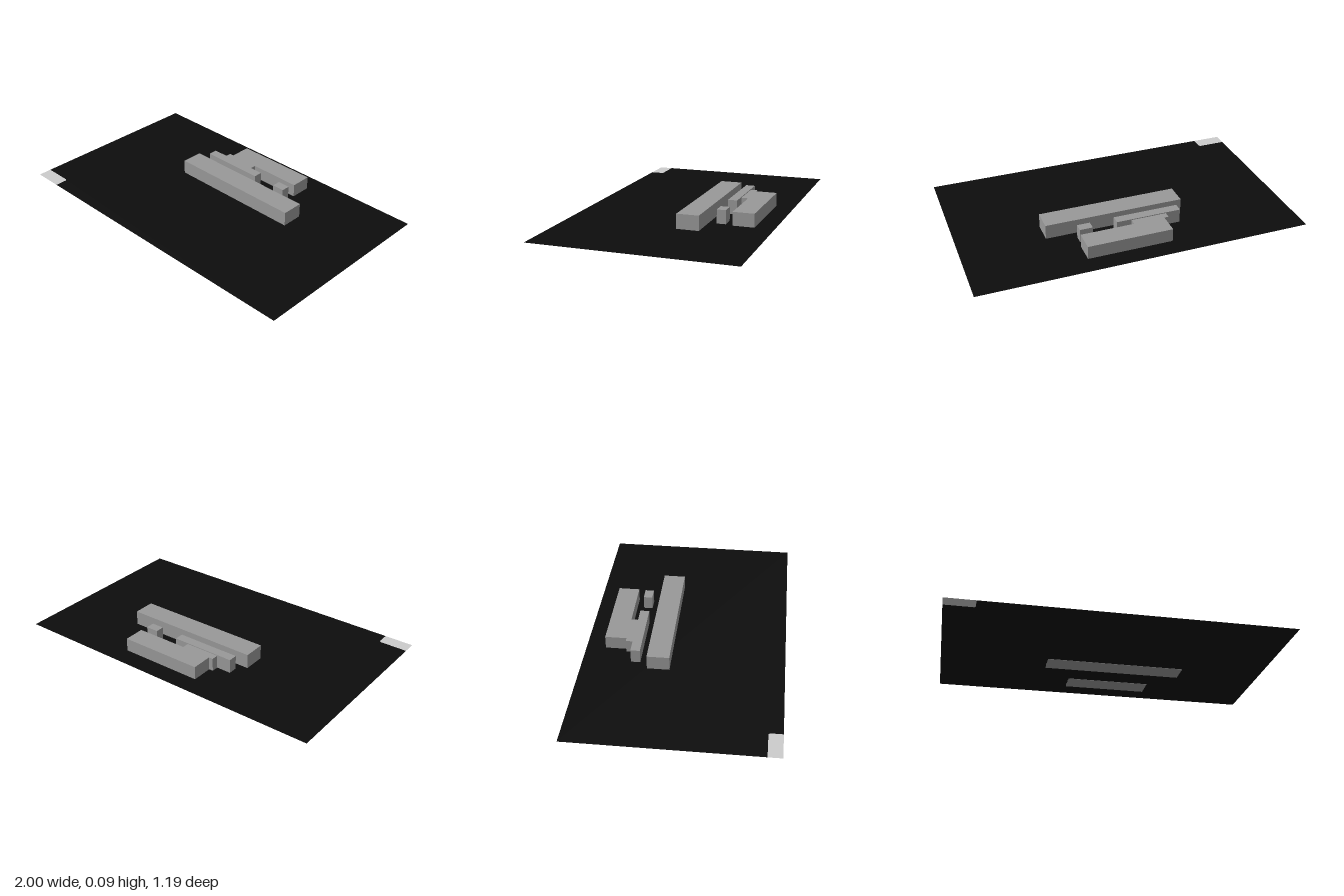
import * as THREE from 'three';

export function createModel() {
  const model = new THREE.Group();
  const stone = new THREE.MeshStandardMaterial({ name: 'grey blocks', color: 0x999999 });
  const ground = new THREE.MeshStandardMaterial({ name: 'black ground', color: 0x0d0d0d, side: THREE.DoubleSide });
  const pale = new THREE.MeshStandardMaterial({ name: 'pale corner', color: 0xcccccc, side: THREE.DoubleSide });

  const add = (name, geometry, material) => {
    const mesh = new THREE.Mesh(geometry, material);
    mesh.name = name;
    model.add(mesh);
    return mesh;
  };

  // Flat sheet from an outline of x, z points, facing up
  const sheet = (name, points, y, material) => {
    const shape = new THREE.Shape(points.map(([x, z]) => new THREE.Vector2(x, -z)));
    add(name, new THREE.ShapeGeometry(shape).rotateX(-Math.PI / 2).translate(0, y, 0), material);
  };

  // Ground sheet with a notch in its front right corner, filled by a pale patch
  const X = 1, Z = 0.597;
  const notch = [[-X, 0.515], [-0.83, 0.515], [-0.822, 0.525], [-0.822, Z]];
  sheet('groundSheet', [[-X, -Z], ...notch, [X, Z], [X, -Z]], 0.002, ground);
  sheet('cornerPatch', [[-X, Z], [-0.822, Z], ...notch.slice(0, 3).reverse()], 0.002, pale);

  // Buildings: name, x range, z range, y range
  const blocks = [
    ['frontBuilding', -0.355, 0.493, -0.208, -0.075, 0, 0.09],
    ['backBuilding', -0.187, 0.328, -0.481, -0.352, 0, 0.083],
    ['middleBuilding', -0.305, 0.092, -0.31, -0.254, 0.003, 0.088],
    ['linkBuilding', -0.214, 0.002, -0.352, -0.31, 0.003, 0.083],
    ['smallBuilding', 0.24, 0.318, -0.31, -0.256, 0.003, 0.086],
  ];
  for (const [name, x0, x1, z0, z1, y0, y1] of blocks) {
    add(name, new THREE.BoxGeometry(x1 - x0, y1 - y0, z1 - z0), stone)
      .position.set((x0 + x1) / 2, (y0 + y1) / 2, (z0 + z1) / 2);
  }
  return model;
}
